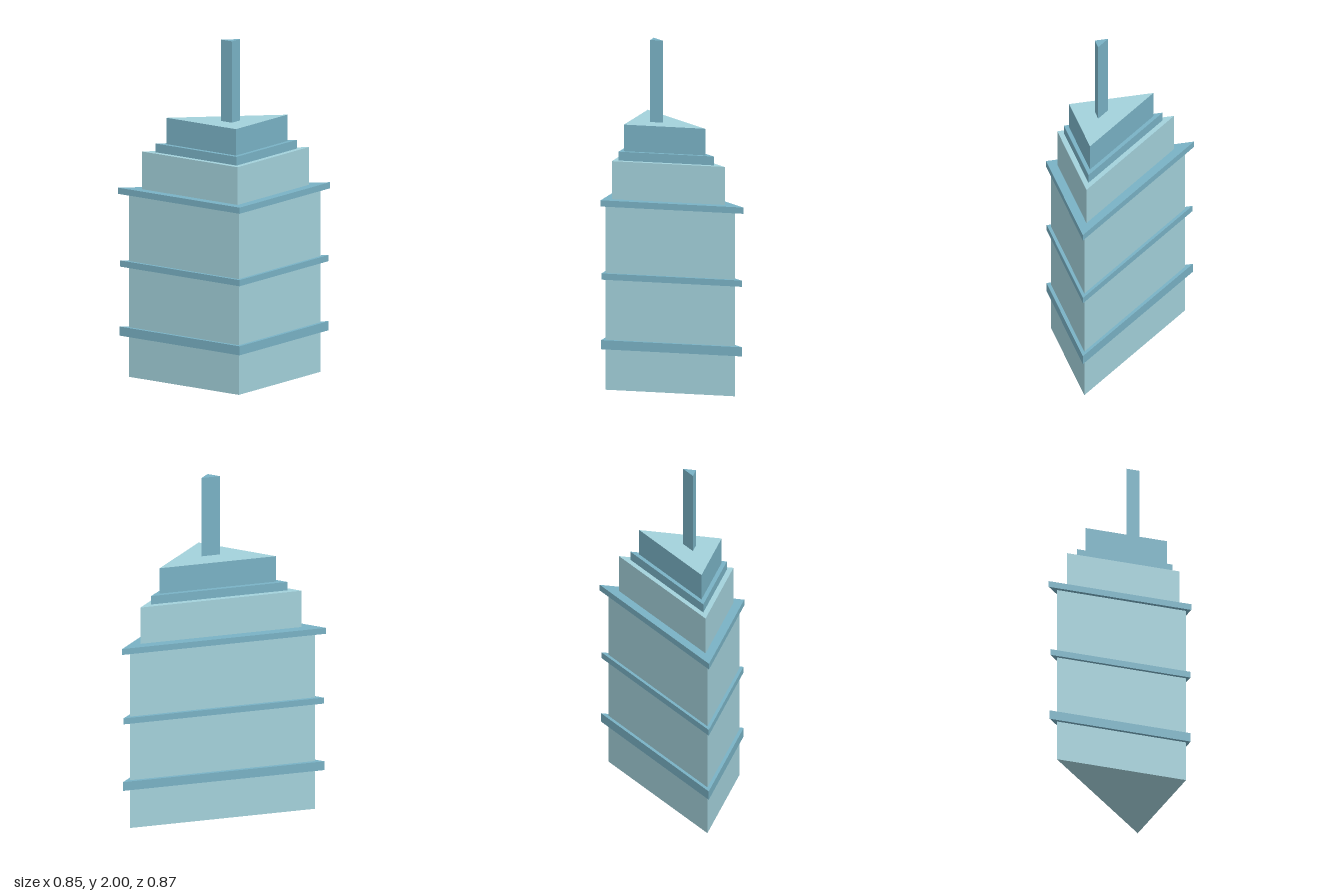
import * as THREE from 'three';

const wall = new THREE.MeshStandardMaterial({ color: 0xa3d1db });
wall.name = 'pale blue wall';
const trim = new THREE.MeshStandardMaterial({ color: 0x79b2c5 });
trim.name = 'teal trim';

// Right-triangular prism with its square corner at front right (x0, zFront)
function prism(name, [x0, x1], [zFront, zBack], [y0, y1], material) {
  const shape = new THREE.Shape([
    new THREE.Vector2(x0, -zFront),
    new THREE.Vector2(x1, -zFront),
    new THREE.Vector2(x0, -zBack),
  ]);
  const geometry = new THREE.ExtrudeGeometry(shape, { depth: y1 - y0, bevelEnabled: false });
  geometry.rotateX(-Math.PI / 2);
  geometry.translate(0, y0, 0);
  const mesh = new THREE.Mesh(geometry, material);
  mesh.name = name;
  return mesh;
}

export function createModel() {
  const tower = new THREE.Group();
  tower.name = 'triangularTower';

  tower.add(
    // Main shaft and setback storey
    prism('mainShaft', [-0.402, 0.366], [0.412, -0.377], [0, 1.08], wall),
    prism('upperStorey', [-0.374, 0.297], [0.382, -0.305], [1.08, 1.32], wall),
    // Projecting ledges
    prism('lowerLedge', [-0.422, 0.414], [0.433, -0.428], [0.237, 0.29], trim),
    prism('middleLedge', [-0.421, 0.412], [0.432, -0.424], [0.64, 0.676], trim),
    prism('upperLedge', [-0.425, 0.422], [0.435, -0.435], [1.064, 1.1], trim),
    // Stepped crown: teal sides with a pale roof
    prism('crownStep', [-0.343, 0.223], [0.351, -0.23], [1.32, 1.371], trim),
    prism('crown', [-0.318, 0.165], [0.327, -0.169], [1.371, 1.525], [wall, trim]),
    // Spire
    prism('spire', [-0.197, -0.121], [0.206, 0.128], [1.525, 2], trim),
  );
  return tower;
}
